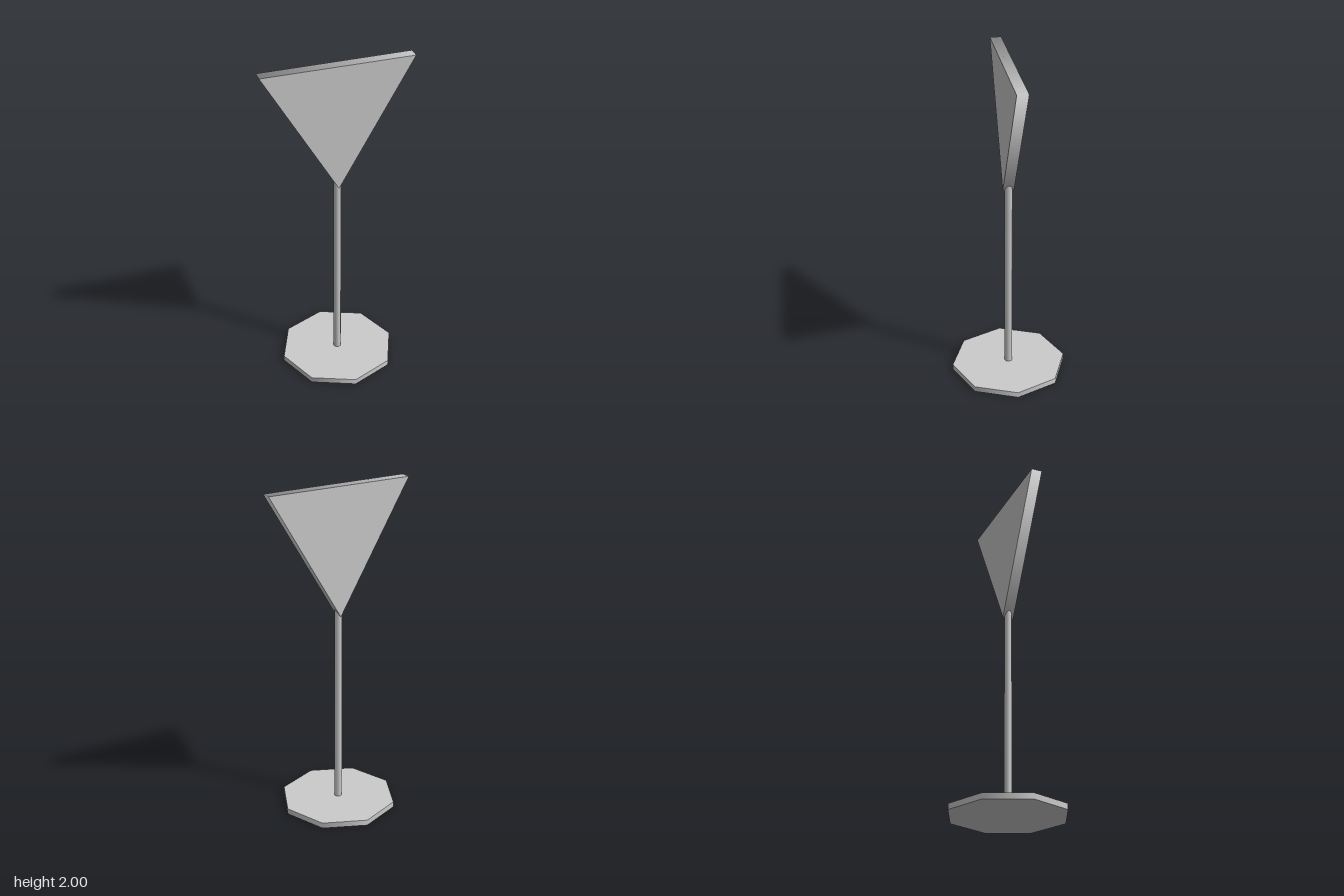
import * as THREE from 'three';

const material = new THREE.MeshStandardMaterial({ color: 0xcccccc });

// Upright prism spanning bottom to top
function post(name, radius, bottom, top, sides) {
  const mesh = new THREE.Mesh(new THREE.CylinderGeometry(radius, radius, top - bottom, sides), material);
  mesh.name = name;
  mesh.position.y = (bottom + top) / 2;
  return mesh;
}

export function createModel() {
  const model = new THREE.Group();
  model.name = 'triangularSign';

  // Octagonal foot and slim pole
  model.add(post('base', 0.352, 0, 0.035, 8));
  model.add(post('pole', 0.0235, 0.03, 1.32, 8));

  // Three-sided plate, turned to face forward with one corner down
  const radius = 0.516;
  const plate = new THREE.Mesh(new THREE.CylinderGeometry(radius, radius, 0.066, 3), material);
  plate.name = 'signPlate';
  plate.rotation.x = Math.PI / 2;
  plate.position.y = 2 - radius / 2;
  model.add(plate);

  return model;
}
